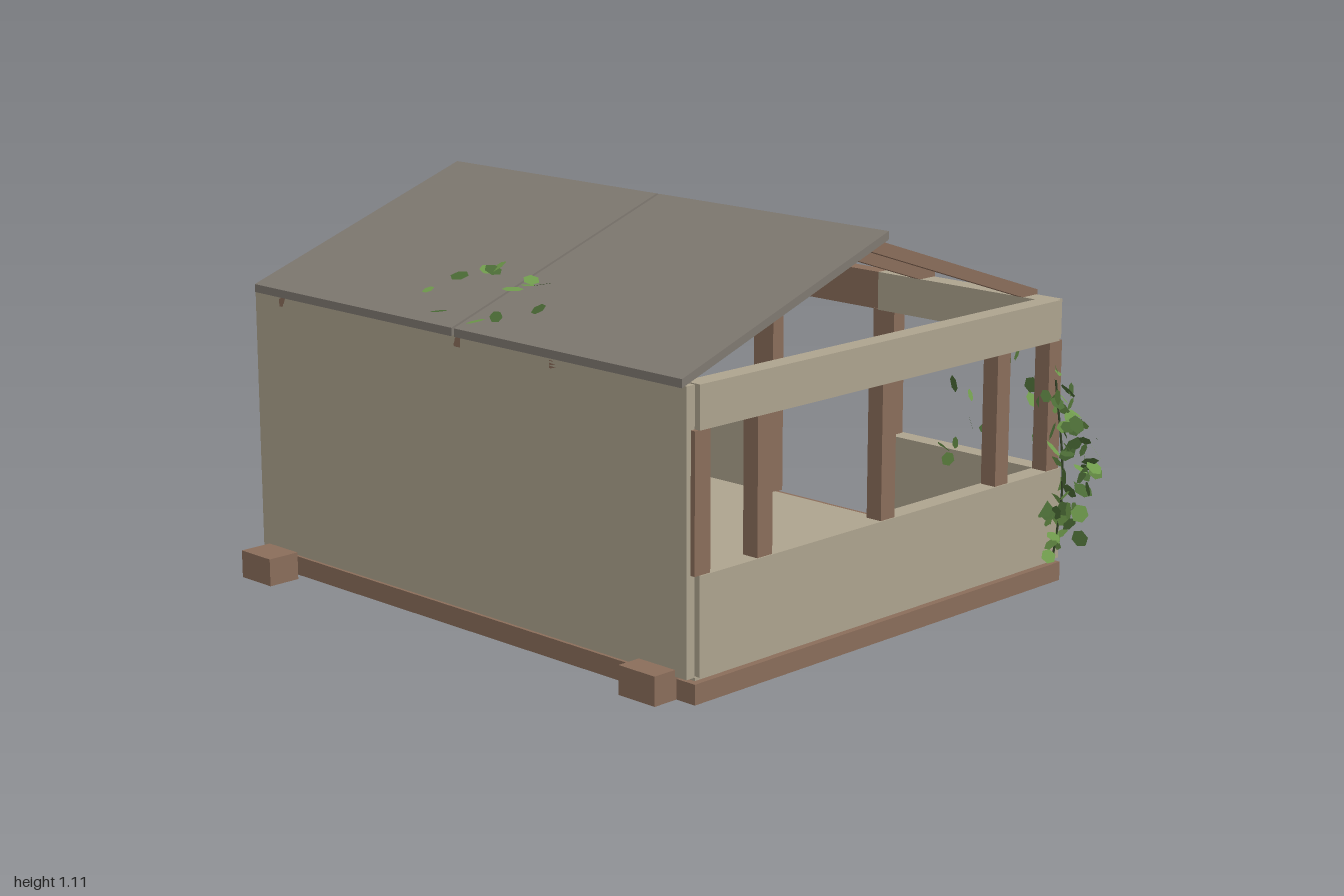
import * as THREE from 'three';
import { mergeGeometries } from 'three/addons/utils/BufferGeometryUtils.js';

const mat = (name, color, side = THREE.FrontSide) => {
  const m = new THREE.MeshStandardMaterial({ color, side });
  m.name = name;
  return m;
};

export function createModel() {
  const plaster = mat('plaster', 0xada38e);
  const wood = mat('wood', 0x8a6d5a);
  const slate = mat('slate', 0x7f7971);
  const leafLight = mat('light leaf', 0x6f9a4c, THREE.DoubleSide);
  const leafDark = mat('dark leaf', 0x4a6a35, THREE.DoubleSide);
  const stemGreen = mat('vine stem', 0x37472a);

  const root = new THREE.Group();
  root.name = 'ruinedHut';
  const add = (name, geo, material) => {
    const mesh = new THREE.Mesh(geo, material);
    mesh.name = name;
    root.add(mesh);
    return mesh;
  };
  // Box given by its limits on each axis
  const box = (name, material, x0, x1, y0, y1, z0, z1) => {
    const g = new THREE.BoxGeometry(x1 - x0, y1 - y0, z1 - z0);
    return add(name, g.translate((x0 + x1) / 2, (y0 + y1) / 2, (z0 + z1) / 2), material);
  };

  // Base, floor and loose stepping blocks
  box('base', wood, -0.955, 0.81, 0, 0.055, -0.725, 0.78);
  box('floor', plaster, -0.94, 0.79, 0.055, 0.064, -0.69, 0.76);
  for (const [x, z] of [[-0.715, -0.81], [0.385, -0.86], [-0.825, 0.857], [0.68, 0.808]])
    box('block', wood, x - 0.065, x + 0.065, 0, 0.08, z - 0.05, z + 0.05);

  // Full front wall
  box('frontWall', plaster, -0.945, 0.785, 0.062, 0.822, 0.755, 0.785);

  // Both sides: low wall, posts and top beam
  for (const [x0, x1] of [[0.745, 0.803], [-0.957, -0.9]]) {
    box('sideLowWall', plaster, x0, x1, 0.066, 0.333, -0.725, 0.756);
    box('sideBeam', plaster, x0, x1, 0.708, 0.825, -0.7, 0.756);
    for (const z of [0.742, 0.513, 0.03, -0.457, -0.69])
      box('sidePost', wood, x0 + 0.004, x1 - 0.004, 0.333, 0.708, z - 0.028, z + 0.028);
  }

  // Back: low walls either side of the doorway, beams, lintel and door posts
  for (const [x0, x1] of [[0.16, 0.785], [-0.935, -0.3]]) {
    box('backLowWall', plaster, x0, x1, 0.062, 0.333, -0.728, -0.67);
    box('backBeam', plaster, x0 - 0.005, x1, 0.708, 0.822, -0.732, -0.67);
  }
  box('lintel', wood, -0.3, 0.155, 0.708, 0.82, -0.73, -0.678);
  for (const x of [0.175, -0.31])
    box('doorPost', wood, x - 0.04, x + 0.04, 0.062, 0.71, -0.722, -0.675);
  // Short slats on the back walls
  for (const x of [0.72, 0.3, -0.39, -0.82])
    for (const y of [0.13, 0.2, 0.27])
      box('slat', wood, x - 0.043, x + 0.043, y - 0.016, y + 0.016, -0.74, -0.726);

  // Sloping slab drawn in the z-y plane and extruded along x
  const RIDGE_Z = 0.025;
  const slope = (name, material, x0, x1, ridgeY, eaveY, eaveZ, t) => {
    const s = new THREE.Shape([
      new THREE.Vector2(RIDGE_Z, ridgeY), new THREE.Vector2(eaveZ, eaveY),
      new THREE.Vector2(eaveZ, eaveY - t), new THREE.Vector2(RIDGE_Z, ridgeY - t)]);
    const g = new THREE.ExtrudeGeometry(s, { depth: x1 - x0, bevelEnabled: false });
    add(name, g.rotateY(-Math.PI / 2).translate(x1, 0, 0), material);
  };
  for (const x of [-0.822, -0.447, -0.072, 0.303, 0.68]) {
    slope('frontRafter', wood, x - 0.014, x + 0.014, 1.088, 0.825, 0.785, 0.036);
    slope('backRafter', wood, x - 0.014, x + 0.014, 1.088, 0.836, -0.735, 0.036);
  }
  slope('frontRoofLeft', slate, -0.067, 0.782, 1.112, 0.842, 0.798, 0.023);
  slope('frontRoofRight', slate, -0.93, -0.077, 1.112, 0.842, 0.798, 0.023);
  slope('backRoof', slate, -0.93, -0.077, 1.112, 0.842, -0.745, 0.023);

  // Seeded random numbers for the foliage
  let seed = 12345;
  const rand = (a = 0, b = 1) => {
    seed = (seed * 16807) % 2147483647;
    return a + (b - a) * (seed / 2147483647);
  };
  const leaf = (p, normal, tilt) => {
    const g = new THREE.CircleGeometry(rand(0.02, 0.031), 6);
    g.scale(1, rand(0.65, 0.95), 1).rotateZ(rand(0, 6.28));
    const dir = normal.clone().add(new THREE.Vector3(rand(-tilt, tilt), rand(-tilt, tilt), rand(-tilt, tilt)));
    g.applyQuaternion(new THREE.Quaternion().setFromUnitVectors(new THREE.Vector3(0, 0, 1), dir.normalize()));
    return g.translate(p.x, p.y, p.z);
  };
  const foliage = (name, count, normal, tilt, place) => {
    const sets = [[], []];
    for (let i = 0; i < count; i++) sets[i % 2].push(leaf(place(i), normal, tilt));
    add(name + 'LightLeaves', mergeGeometries(sets[0]), leafLight);
    add(name + 'DarkLeaves', mergeGeometries(sets[1]), leafDark);
  };
  const stem = (...pts) => add('vineStem', new THREE.TubeGeometry(
    new THREE.CatmullRomCurve3(pts.map((p) => new THREE.Vector3(...p))), 8, 0.004, 4), stemGreen);

  // Vines climbing the right side
  const roots = [0.56, 0.31, -0.17, -0.42];
  for (const z of roots)
    stem([-0.962, 0.06, z - 0.05], [-0.964, 0.4, z], [-0.962, 0.76, z + 0.03]);
  foliage('sideVine', 170, new THREE.Vector3(-1, 0.3, 0), 0.9, (i) => {
    const y = 0.08 + 0.66 * Math.sqrt(rand());
    return new THREE.Vector3(rand(-0.976, -0.955), y, roots[i % 4] + (y - 0.4) * 0.11 + rand(-0.13, 0.13));
  });

  // Vine hanging around the back left corner
  stem([0.81, 0.07, -0.69], [0.83, 0.3, -0.7], [0.81, 0.6, -0.68]);
  foliage('cornerVine', 70, new THREE.Vector3(0.5, 0.3, -0.4), 1.1, () => {
    const y = rand(0.09, 0.58);
    const reach = 0.17 * (1 - Math.abs(y - 0.36) / 0.45);
    return new THREE.Vector3(0.8 + rand(0, reach), y, rand(-0.73, -0.64));
  });
  foliage('backVine', 30, new THREE.Vector3(0.2, 0.4, -0.7), 1, () =>
    new THREE.Vector3(rand(0.4, 0.82), rand(0.3, 0.68), rand(-0.74, -0.65)));

  // Leaves scattered over and under the front roof slope
  const roofY = (z) => 1.112 - (z - RIDGE_Z) * 0.349;
  foliage('roofVine', 13, new THREE.Vector3(0, 1, 0.3), 0.4, () => {
    const z = rand(0.52, 0.77);
    return new THREE.Vector3(rand(-0.33, 0.2), roofY(z) + 0.012, z);
  });
  foliage('underRoofVine', 22, new THREE.Vector3(0, 1, 0.2), 0.6, () => {
    const z = rand(0.25, 0.65);
    return new THREE.Vector3(rand(-0.33, 0.2), Math.min(0.95, roofY(z) - 0.05) - rand(0, 0.06), z);
  });

  return root;
}
